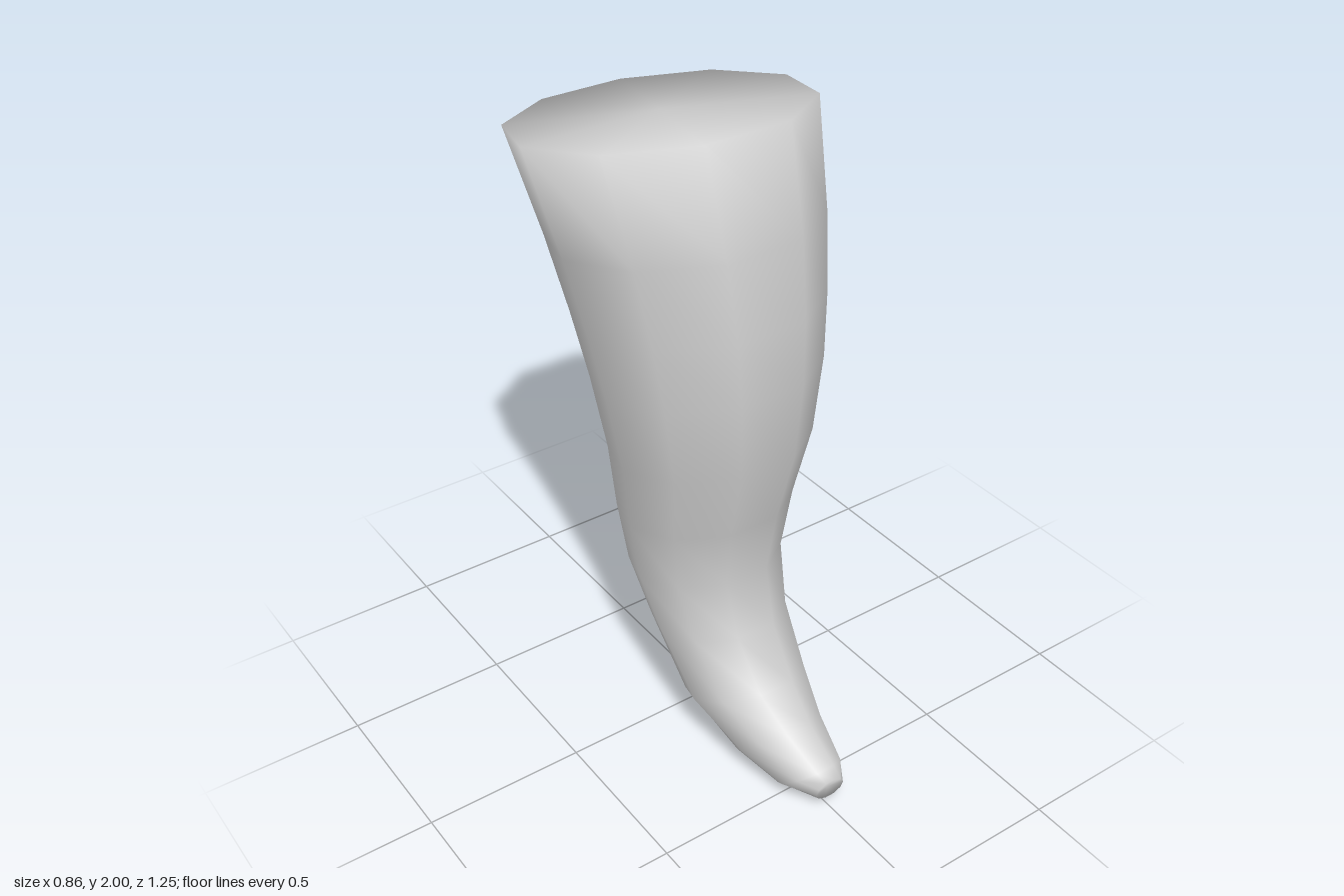
import * as THREE from 'three';

const SIDES = 10;

// Each ring: front z, front y, back z, back y, half width (top to toe)
const RINGS = [
  [0.18, 2.0, -0.63, 1.85, 0.432],
  [0.26, 1.7, -0.48, 1.57, 0.39],
  [0.295, 1.47, -0.39, 1.36, 0.36],
  [0.305, 1.28, -0.32, 1.17, 0.335],
  [0.29, 1.04, -0.27, 0.94, 0.3],
  [0.23, 0.8, -0.265, 0.72, 0.265],
  [0.2, 0.6, -0.235, 0.52, 0.235],
  [0.25, 0.42, -0.14, 0.35, 0.208],
  [0.36, 0.27, 0.03, 0.135, 0.187],
  [0.47, 0.19, 0.28, 0.02, 0.14],
  [0.6, 0.13, 0.45, 0.003, 0.1],
  [0.625, 0.1, 0.625, 0.045, 0.05],
];

// Closed skin lofted through tilted ten-sided rings
function loftGeometry(rings) {
  const positions = [];
  const indices = [];
  const flat = Math.cos(Math.PI / SIDES);

  for (const [fz, fy, bz, by, w] of rings) {
    for (let j = 0; j < SIDES; j++) {
      const a = ((j + 0.5) / SIDES) * Math.PI * 2;
      const t = Math.cos(a) / flat / 2;
      positions.push(Math.sin(a) * w, (fy + by) / 2 + (fy - by) * t, (fz + bz) / 2 + (fz - bz) * t);
    }
  }
  for (let r = 0; r < rings.length - 1; r++) {
    for (let j = 0; j < SIDES; j++) {
      const k = (j + 1) % SIDES;
      const a = r * SIDES + j, b = r * SIDES + k;
      indices.push(a, a + SIDES, b + SIDES, a, b + SIDES, b);
    }
  }

  // Flat top and slightly dented toe tip, sharing the rim vertices for soft shading
  const top = rings[0], tip = rings[rings.length - 1];
  const topCentre = positions.length / 3, tipCentre = topCentre + 1;
  positions.push(0, (top[1] + top[3]) / 2, (top[0] + top[2]) / 2);
  positions.push(0, (tip[1] + tip[3]) / 2, tip[0] - 0.012);
  const last = (rings.length - 1) * SIDES;
  for (let j = 0; j < SIDES; j++) {
    const k = (j + 1) % SIDES;
    indices.push(topCentre, j, k, tipCentre, last + k, last + j);
  }

  const geometry = new THREE.BufferGeometry();
  geometry.setAttribute('position', new THREE.Float32BufferAttribute(positions, 3));
  geometry.setIndex(indices);
  geometry.computeVertexNormals();
  return geometry;
}

export function createModel() {
  const group = new THREE.Group();
  group.name = 'curvedLeg';
  const leg = new THREE.Mesh(
    loftGeometry(RINGS),
    new THREE.MeshStandardMaterial({ color: 0xcccccc })
  );
  leg.name = 'legAndToe';
  group.add(leg);
  return group;
}
